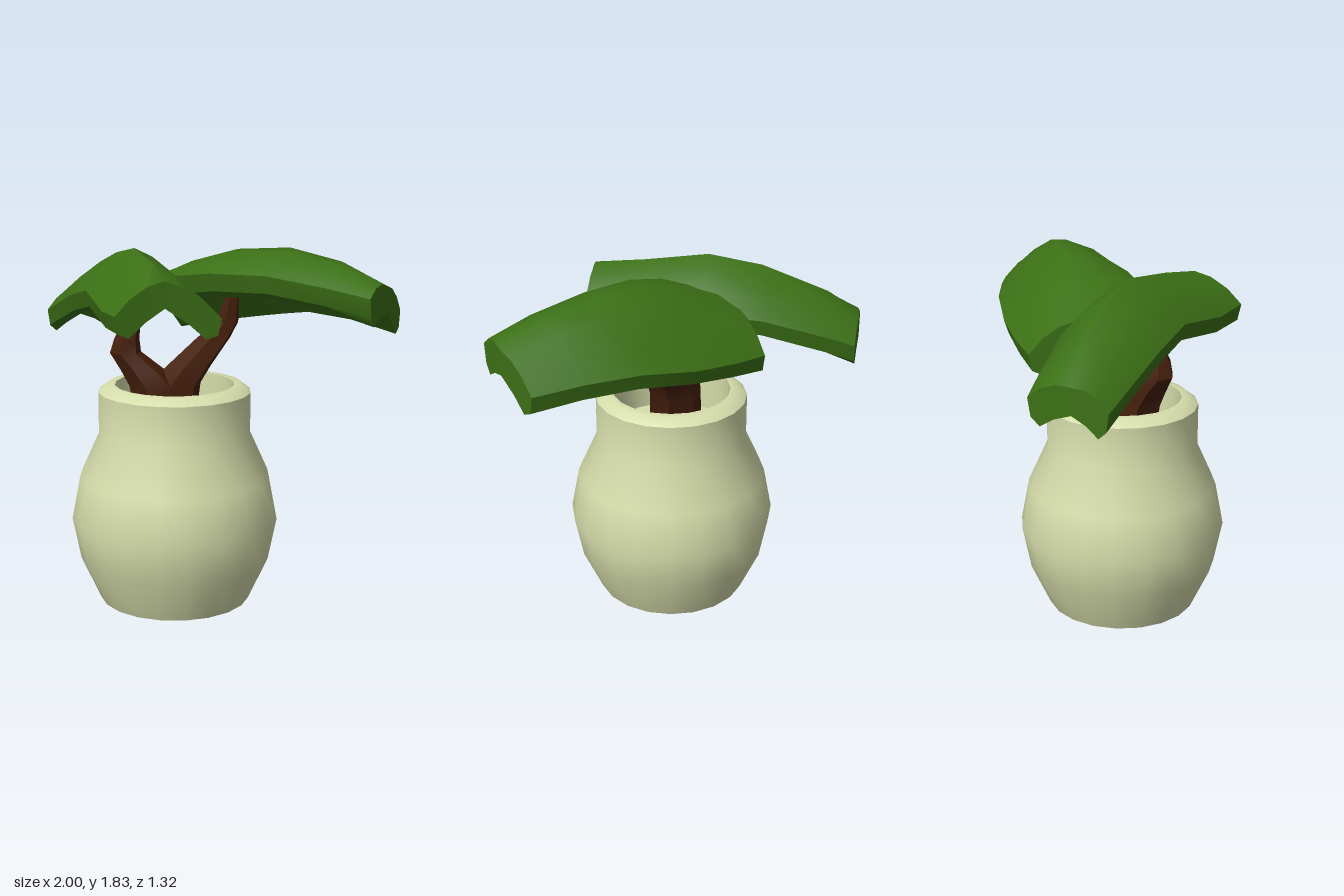
import * as THREE from 'three';
import { toCreasedNormals } from 'three/addons/utils/BufferGeometryUtils.js';

const material = (color) => new THREE.MeshStandardMaterial({ color });

function addMesh(parent, name, geometry, mat, crease) {
  const mesh = new THREE.Mesh(toCreasedNormals(geometry, crease), mat);
  mesh.name = name;
  parent.add(mesh);
  return mesh;
}

// Closed skin through equal rings of points, capped at both ends
function loft(rings) {
  const n = rings[0].length, index = [];
  const quad = (a, b, c, d) => index.push(a, b, c, a, c, d);
  for (let i = 0; i < rings.length - 1; i++) {
    for (let j = 0; j < n; j++) {
      const k = (j + 1) % n;
      quad(i * n + j, i * n + k, (i + 1) * n + k, (i + 1) * n + j);
    }
  }
  const last = (rings.length - 1) * n;
  for (let j = 0; j < n / 2 - 1; j++) {
    quad(n - 1 - j, n - 2 - j, j + 1, j);
    quad(last + j, last + j + 1, last + n - 2 - j, last + n - 1 - j);
  }
  const geometry = new THREE.BufferGeometry().setFromPoints(rings.flat());
  geometry.setIndex(index);
  return geometry;
}

// Leaf section as [from edge to ridge, height offset]: arched top, thick lips, hollow underside
const TOP = [[0, 0], [0.3, 0.03], [0.65, 0.03], [1, 0]];
const UNDER = [[0.07, -0.095], [0.28, -0.15], [0.6, -0.13], [1, -0.13]];

function leafRing(back, ridge, front) {
  const side = (edge, steps) => steps.map(([t, dy]) => {
    const p = new THREE.Vector3(...edge).lerp(new THREE.Vector3(...ridge), t);
    return p.setY(p.y + dy);
  });
  return [
    ...side(back, TOP), ...side(front, TOP).reverse().slice(1),
    ...side(front, UNDER), ...side(back, UNDER).reverse().slice(1),
  ];
}

// Branch from [x, y, z, radius] points, six-sided
function branchGeometry(path) {
  return loft(path.map(([x, y, z, r]) => Array.from({ length: 6 }, (_, i) => {
    const a = (i / 6) * Math.PI * 2;
    return new THREE.Vector3(x + r * Math.cos(a), y, z - r * Math.sin(a));
  })));
}

export function createModel() {
  const model = new THREE.Group();
  const clay = material(0xd6ddab), bark = material(0x451f0b), green = material(0x3c7016);

  // Round-bellied pot with a chamfered, hollow neck
  const profile = [
    [0, 0], [0.39, 0], [0.49, 0.22], [0.533, 0.44], [0.49, 0.66], [0.39, 0.88],
    [0.39, 1.1], [0.345, 1.135], [0.305, 1.135], [0.305, 0.9], [0, 0.9],
  ].map(([r, y]) => new THREE.Vector2(r, y));
  const pot = addMesh(model, 'pot', new THREE.LatheGeometry(profile, 20), clay, 0.75);
  pot.position.set(0.01, 0, 0.06);

  // Forked trunk
  const branches = {
    frontBranch: [
      [-0.03, 0.88, 0.1, 0.14], [-0.05, 1.13, 0.15, 0.125],
      [-0.09, 1.21, 0.19, 0.11], [-0.15, 1.3, 0.25, 0.08],
      [-0.14, 1.37, 0.25, 0.065], [-0.12, 1.54, 0.2, 0.03],
    ],
    backBranch: [
      [-0.02, 0.88, 0.08, 0.14], [0, 1.13, 0.04, 0.13],
      [0.04, 1.22, -0.01, 0.12], [0.1, 1.36, -0.13, 0.09],
      [0.15, 1.44, -0.175, 0.06], [0.19, 1.64, -0.19, 0.025],
    ],
  };
  for (const [name, path] of Object.entries(branches)) {
    addMesh(model, name, branchGeometry(path), bark, 0.5);
  }

  // Drooping leaves, each station given as back edge, ridge, front edge
  const leaves = {
    frontLeaf: [
      [[-0.83, 1.41, -0.31], [-0.95, 1.5, -0.1], [-1, 1.4, 0.07]],
      [[-0.69, 1.46, -0.28], [-0.78, 1.62, -0.07], [-0.82, 1.46, 0.15]],
      [[-0.37, 1.56, -0.21], [-0.46, 1.76, 0.03], [-0.55, 1.55, 0.27]],
      [[-0.1, 1.59, -0.12], [-0.21, 1.81, 0.13], [-0.3, 1.61, 0.38]],
      [[0.17, 1.55, 0.02], [0.08, 1.765, 0.27], [0.02, 1.56, 0.55]],
      [[0.44, 1.53, 0.16], [0.31, 1.72, 0.41], [0.23, 1.57, 0.655]],
    ],
    backLeaf: [
      [[-0.33, 1.45, -0.37], [-0.28, 1.61, -0.14], [-0.2, 1.63, 0.05]],
      [[-0.15, 1.47, -0.46], [-0.03, 1.73, -0.17], [0.1, 1.7, 0.14]],
      [[0.08, 1.5, -0.55], [0.18, 1.81, -0.22], [0.27, 1.72, 0.07]],
      [[0.36, 1.55, -0.62], [0.44, 1.83, -0.32], [0.52, 1.72, -0.05]],
      [[0.63, 1.55, -0.645], [0.72, 1.78, -0.38], [0.8, 1.68, -0.16]],
      [[0.87, 1.53, -0.66], [0.96, 1.68, -0.43], [1, 1.64, -0.25]],
    ],
  };
  for (const [name, stations] of Object.entries(leaves)) {
    const rings = stations.map((station) => leafRing(...station));
    addMesh(model, name, loft(rings), green, 0.7);
  }
  return model;
}
